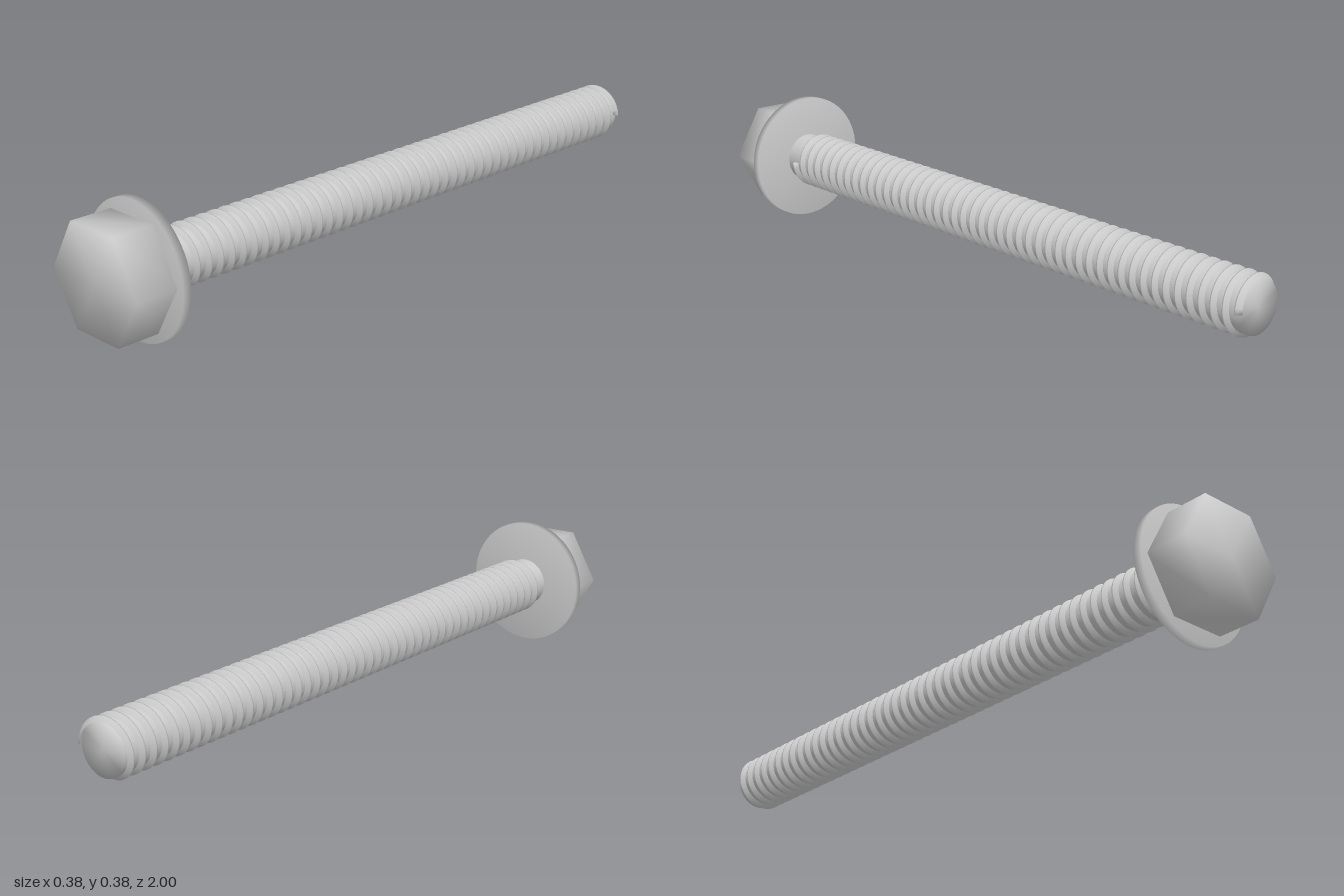
import * as THREE from 'three';
import { mergeVertices } from 'three/addons/utils/BufferGeometryUtils.js';

const material = new THREE.MeshStandardMaterial({ color: 0xcccccc });

// Cylinder along z between two depths, with normals shared across its edges
function smoothCylinder(name, radius, zFront, zBack, sides) {
  const geo = new THREE.CylinderGeometry(radius, radius, zFront - zBack, sides);
  geo.rotateY(Math.PI / 2).rotateX(Math.PI / 2).translate(0, 0, (zFront + zBack) / 2);
  geo.deleteAttribute('uv');
  geo.deleteAttribute('normal');
  const merged = mergeVertices(geo, 1e-5);
  merged.computeVertexNormals();
  const mesh = new THREE.Mesh(merged, material);
  mesh.name = name;
  return mesh;
}

// Right-hand helical ridge: a pointed section swept around the shaft
function threadGeometry(zStart, zEnd, turns, rootRadius, crestRadius, halfWidth) {
  const section = [
    [rootRadius, halfWidth], [crestRadius, 0.002],
    [crestRadius, -0.002], [rootRadius, -halfWidth],
  ];
  const n = section.length, perTurn = 32, steps = turns * perTurn;
  const positions = [], index = [];
  for (let i = 0; i <= steps; i++) {
    const angle = -2 * Math.PI * i / perTurn;
    const z = zStart + (zEnd - zStart) * i / steps;
    for (const [r, dz] of section) positions.push(r * Math.cos(angle), r * Math.sin(angle), z + dz);
  }
  for (let i = 0; i < steps; i++) {
    for (let j = 0; j < n - 1; j++) {
      const a = i * n + j, b = a + n;
      index.push(a, b, a + 1, b, b + 1, a + 1);
    }
  }
  // Close both ends of the ridge
  const e = steps * n;
  index.push(0, 1, 2, 0, 2, 3, e, e + 2, e + 1, e, e + 3, e + 2);
  const geo = new THREE.BufferGeometry();
  geo.setAttribute('position', new THREE.Float32BufferAttribute(positions, 3));
  geo.setIndex(index);
  geo.computeVertexNormals();
  return geo;
}

export function createModel() {
  const bolt = new THREE.Group();
  bolt.name = 'flangeBolt';

  bolt.add(smoothCylinder('hexHead', 0.166, 1, 0.87, 6));
  bolt.add(smoothCylinder('flange', 0.189, 0.878, 0.853, 64));
  bolt.add(smoothCylinder('shaft', 0.072, 0.86, -0.99, 48));

  const thread = new THREE.Mesh(threadGeometry(0.815, -0.988, 47, 0.07, 0.084, 0.012), material);
  thread.name = 'thread';
  bolt.add(thread);

  // Rest the flange rim on the ground
  bolt.position.y = 0.189;
  const model = new THREE.Group();
  model.name = 'bolt';
  model.add(bolt);
  return model;
}
